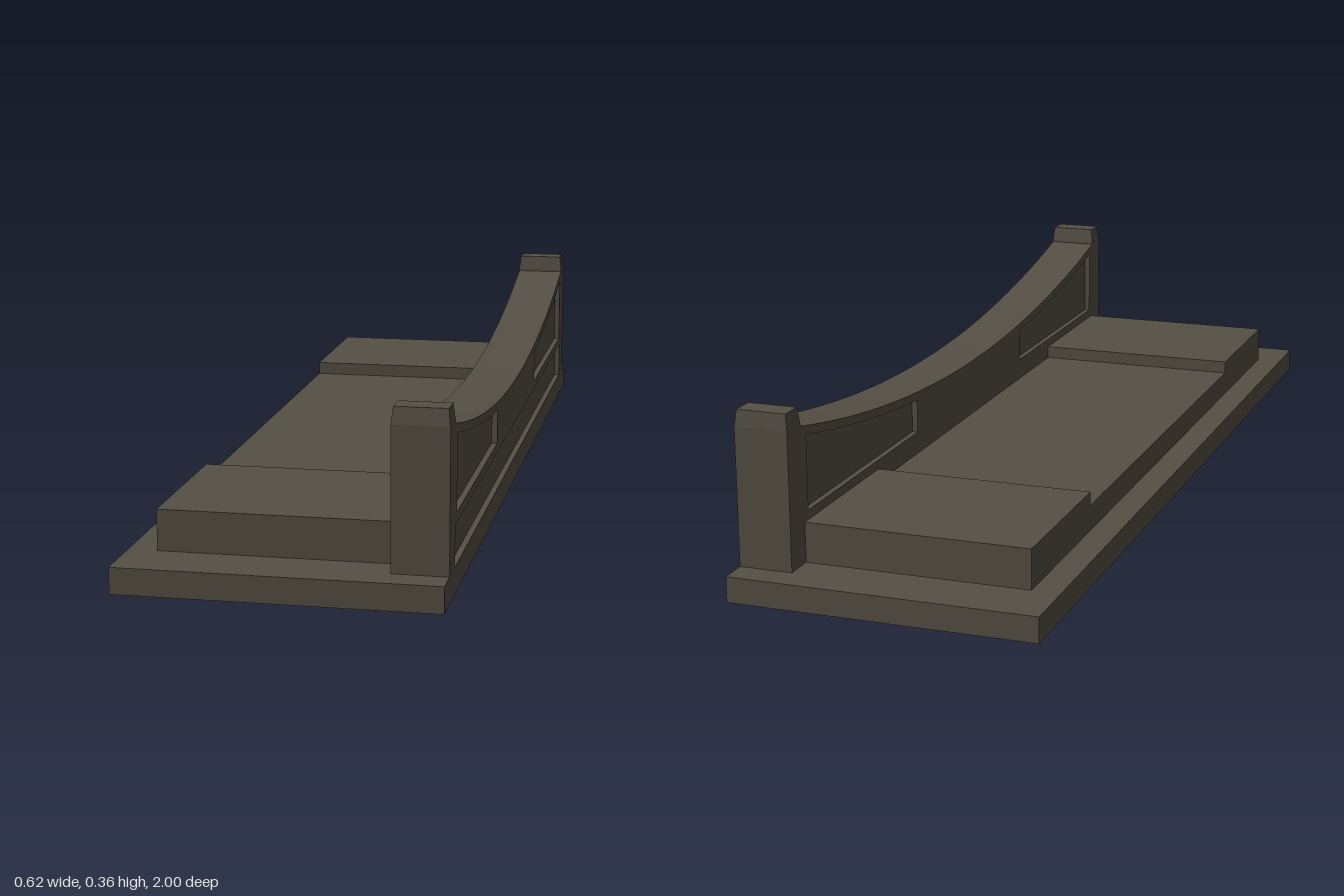
import * as THREE from 'three';

const BASE_Y = 0.052, HALF_X = 0.312;
const SLAB = { x0: -0.255, x1: 0.203, z: 0.88, top: 0.133, mid: 0.105, step: 0.53 };
const WALL = { x0: 0.203, x1: HALF_X, z: 0.885, inset: 0.012 };
const archY = z => 0.228 + 0.097 * (z / 0.885) ** 2;

// Flat-shaded geometry from quads of [x, y, z] corners
function quads(list) {
  const pos = [];
  for (const [a, b, c, d] of list) pos.push(...a, ...b, ...c, ...a, ...c, ...d);
  const g = new THREE.BufferGeometry();
  g.setAttribute('position', new THREE.Float32BufferAttribute(pos, 3));
  g.computeVertexNormals();
  return g;
}

// Rectangular shell, open below, through levels [x0, x1, z0, z1, y]
function shell(levels, capped) {
  const rings = levels.map(([x0, x1, z0, z1, y]) =>
    [[x0, y, z1], [x1, y, z1], [x1, y, z0], [x0, y, z0]]);
  const list = [];
  for (let k = 0; k + 1 < rings.length; k++)
    for (let i = 0; i < 4; i++) {
      const j = (i + 1) % 4;
      list.push([rings[k][i], rings[k][j], rings[k + 1][j], rings[k + 1][i]]);
    }
  if (capped) list.push(rings[rings.length - 1]);
  return quads(list);
}

// Sweep a [z, y] line across x
function sweep(line, x0, x1) {
  const list = [];
  for (let i = 0; i + 1 < line.length; i++) {
    const [za, ya] = line[i], [zb, yb] = line[i + 1];
    list.push([[x0, ya, za], [x0, yb, zb], [x1, yb, zb], [x1, ya, za]]);
  }
  return quads(list);
}

const toShape = pts => new THREE.Shape(pts.map(p => new THREE.Vector2(p[0], p[1])));

function archLine(z0, z1, drop, n) {
  return Array.from({ length: n + 1 }, (_, i) => {
    const z = z0 + (z1 - z0) * i / n;
    return [z, archY(z) - drop];
  });
}

export function createModel() {
  const group = new THREE.Group();
  const stone = new THREE.MeshStandardMaterial({ color: 0x565045, side: THREE.DoubleSide });
  stone.name = 'dark stone';
  const add = (name, geometry) => {
    const mesh = new THREE.Mesh(geometry, stone);
    mesh.name = name;
    group.add(mesh);
    return mesh;
  };
  // Face lying in the z-y plane at a given x
  const sideFace = (name, shape, x, dir) => {
    const g = new THREE.ShapeGeometry(shape);
    g.rotateY(dir * Math.PI / 2);
    add(name, g).position.x = x;
  };

  // Hollow plinth: rim and top sheet, open beneath the slab and wall
  add('plinthRim', shell([[-HALF_X, HALF_X, -1, 1, 0], [-HALF_X, HALF_X, -1, 1, BASE_Y]], false));
  const top = toShape([[-HALF_X, -1], [HALF_X, -1], [HALF_X, 1], [-HALF_X, 1]]);
  const inner = HALF_X - WALL.inset;
  top.holes.push(toShape([
    [SLAB.x0, -SLAB.z], [WALL.x0, -SLAB.z], [WALL.x0, -0.94], [inner, -0.94],
    [inner, 0.94], [WALL.x0, 0.94], [WALL.x0, SLAB.z], [SLAB.x0, SLAB.z]]));
  const topGeo = new THREE.ShapeGeometry(top);
  topGeo.rotateX(-Math.PI / 2);
  add('plinthTop', topGeo).position.y = BASE_Y;

  // Slab with raised ends, a thin shell
  const profile = [
    [-SLAB.z, BASE_Y], [-SLAB.z, SLAB.top], [-SLAB.step, SLAB.top], [-SLAB.step, SLAB.mid],
    [SLAB.step, SLAB.mid], [SLAB.step, SLAB.top], [SLAB.z, SLAB.top], [SLAB.z, BASE_Y]];
  add('slab', sweep(profile, SLAB.x0, SLAB.x1));
  sideFace('slabOuterSide', toShape(profile), SLAB.x0, -1);
  sideFace('slabWallSide', toShape(profile), SLAB.x1, 1);

  // Wall: curved top, two recessed floors, and framed skins over them
  const arch = archLine(-WALL.z, WALL.z, 0, 40);
  add('wallTop', sweep(arch, WALL.x0, WALL.x1));
  const outline = [[WALL.z, BASE_Y], ...[...arch].reverse(), [-WALL.z, BASE_Y]];
  sideFace('outerPanelFloor', toShape(outline), WALL.x1 - WALL.inset, 1);
  sideFace('innerPanelFloor', toShape(outline), WALL.x0 + WALL.inset, -1);

  const panels = [-1, 1].map(s => toShape([
    [s * 0.32, 0.152], [s * 0.862, 0.152],
    ...archLine(s * 0.862, s * 0.32, 0.018, 14)]));
  const notch = [[-0.88, BASE_Y], [-0.88, 0.133], [0.88, 0.133], [0.88, BASE_Y]];
  const skin = (name, pts, x) => {
    const shape = toShape(pts);
    shape.holes.push(...panels);
    const g = new THREE.ExtrudeGeometry(shape, { depth: WALL.inset, bevelEnabled: false });
    g.rotateY(Math.PI / 2);
    add(name, g).position.x = x;
  };
  skin('wallOuterFrame', [...outline, ...notch], WALL.x1 - WALL.inset);
  skin('wallInnerFrame', outline, WALL.x0);

  // End posts with tapered caps
  for (const s of [-1, 1]) {
    const level = (t, y) => {
      const z = [s * (0.885 + t), s * (0.942 - t)].sort((a, b) => a - b);
      return [WALL.x0 + t, WALL.x1 - t, z[0], z[1], y];
    };
    add(s > 0 ? 'frontPost' : 'backPost',
      shell([level(0, BASE_Y), level(0, 0.33), level(0.004, 0.363)], true));
  }
  return group;
}
